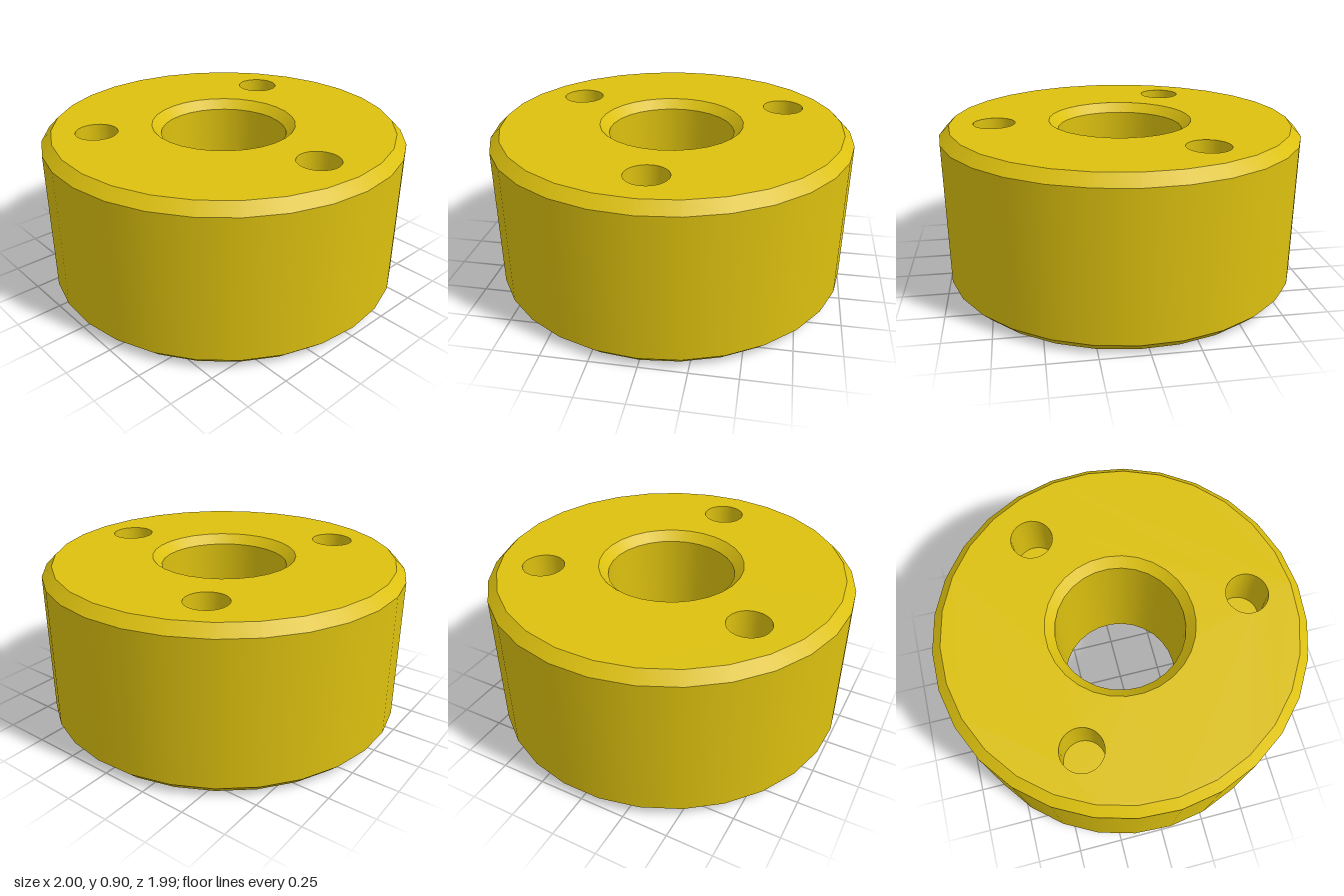
import * as THREE from 'three';

const HEIGHT = 0.9, BEVEL = 0.055, SIDES = 29;
const TAU = Math.PI * 2;

// Ring of points starting at +z, matching the vertices of a lathe
function ring(radius, sides, cx = 0, cz = 0) {
  return Array.from({ length: sides }, (_, i) => {
    const a = (i / sides) * TAU;
    return [cx + Math.sin(a) * radius, cz + Math.cos(a) * radius];
  });
}

// Evenly spaced hole centres around the axis, the first at +z
const topCentres = ring(0.7, 3);
const pocketCentres = ring(0.725, 6);

export function createModel() {
  const group = new THREE.Group();
  const yellow = new THREE.MeshStandardMaterial({ color: 0xdcc00f });
  yellow.name = 'yellow';

  const add = (name, geometry, x = 0, z = 0) => {
    const mesh = new THREE.Mesh(geometry, yellow);
    mesh.name = name;
    mesh.position.set(x, 0, z);
    group.add(mesh);
  };

  // Each straight stretch is its own lathe, so the edges between them stay sharp
  const turn = (name, profile, sides, x, z) => {
    for (let i = 0; i + 1 < profile.length; i++) {
      const pair = [profile[i], profile[i + 1]].map(([r, y]) => new THREE.Vector2(r, y));
      add(name, new THREE.LatheGeometry(pair, sides), x, z);
    }
  };

  // Flat annular face with round openings; dir is +1 facing up, -1 facing down
  const face = (name, y, dir, holeRadius, centres) => {
    const toPath = pts => pts.map(([px, pz]) => new THREE.Vector2(px, -dir * pz));
    const shape = new THREE.Shape(toPath(ring(1 - BEVEL, SIDES)));
    shape.holes.push(new THREE.Path(toPath(ring(0.4, SIDES))));
    for (const [cx, cz] of centres) {
      shape.holes.push(new THREE.Path(toPath(ring(holeRadius, 32, cx, cz))));
    }
    const geometry = new THREE.ShapeGeometry(shape);
    geometry.rotateX(-dir * Math.PI / 2);
    geometry.translate(0, y, 0);
    add(name, geometry);
  };

  // Bevelled outer wall and bevelled central bore
  turn('outerWall', [[1 - BEVEL, 0], [1, BEVEL], [1, HEIGHT - BEVEL], [1 - BEVEL, HEIGHT]], SIDES);
  turn('centralBore', [[0.4, HEIGHT], [0.35, HEIGHT - 0.05], [0.35, 0.05], [0.4, 0]], SIDES);

  // Top and bottom faces
  face('topFace', HEIGHT, 1, 0.115, topCentres);
  face('bottomFace', 0, -1, 0.205, pocketCentres);

  // Three blind holes in the top
  for (const [x, z] of topCentres) {
    turn('topHole', [[0.115, HEIGHT], [0.115, 0.6], [0, 0.6]], 32, x, z);
  }

  // Six flared pockets in the underside
  for (const [x, z] of pocketCentres) {
    turn('bottomPocket', [[0, 0.45], [0.165, 0.45], [0.165, 0.1], [0.205, 0]], 32, x, z);
  }

  return group;
}
